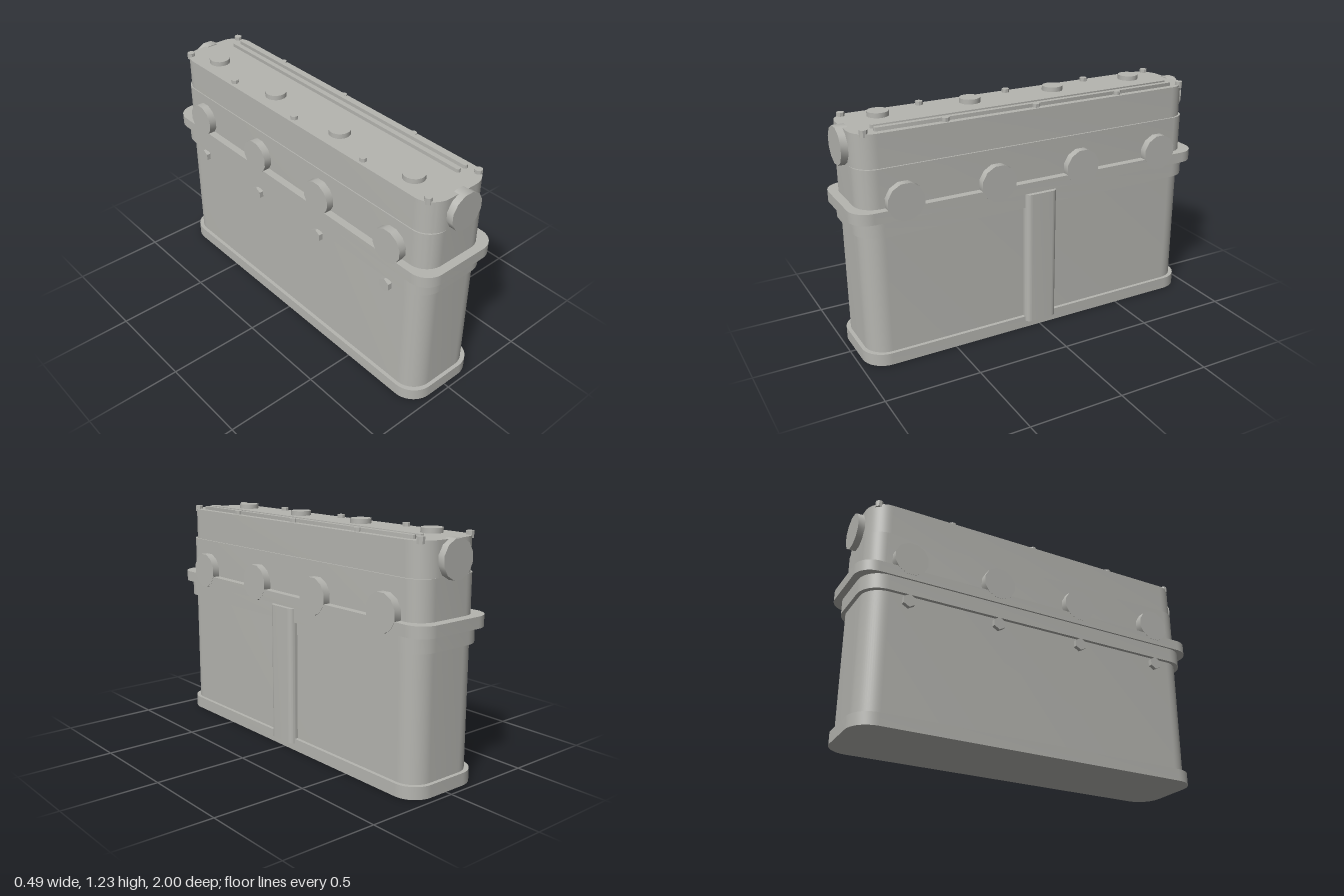
import * as THREE from 'three';
import { toCreasedNormals } from 'three/addons/utils/BufferGeometryUtils.js';

const metal = new THREE.MeshStandardMaterial({ color: 0xb5b5b0 });
metal.name = 'grey metal';

export function createModel() {
  const model = new THREE.Group();
  model.name = 'engineBlock';

  function add(name, geometry, x = 0, y = 0, z = 0) {
    const mesh = new THREE.Mesh(toCreasedNormals(geometry, 0.6), metal);
    mesh.name = name;
    mesh.position.set(x, y, z);
    model.add(mesh);
    return mesh;
  }

  // Upright slab with a rounded rectangular plan
  function slab(name, x0, x1, z0, z1, y0, y1, r) {
    const s = new THREE.Shape();
    s.moveTo(x0 + r, -z1);
    s.lineTo(x1 - r, -z1);
    s.absarc(x1 - r, -z1 + r, r, -Math.PI / 2, 0);
    s.lineTo(x1, -z0 - r);
    s.absarc(x1 - r, -z0 - r, r, 0, Math.PI / 2);
    s.lineTo(x0 + r, -z0);
    s.absarc(x0 + r, -z0 - r, r, Math.PI / 2, Math.PI);
    s.lineTo(x0, -z1 + r);
    s.absarc(x0 + r, -z1 + r, r, Math.PI, Math.PI * 1.5);
    const g = new THREE.ExtrudeGeometry(s, { depth: y1 - y0, bevelEnabled: false, curveSegments: 8 });
    g.rotateX(-Math.PI / 2);
    return add(name, g, 0, y0, 0);
  }

  // Disc lying along an axis, with a flat facet at its sides
  function disc(name, axis, radius, from, to, sides, x, y, z) {
    const g = new THREE.CylinderGeometry(radius, radius, to - from, sides);
    g.rotateY(Math.PI / sides);
    if (axis === 'x') g.rotateZ(-Math.PI / 2);
    if (axis === 'z') g.rotateX(Math.PI / 2);
    const p = { x, y, z };
    p[axis] = (from + to) / 2;
    return add(name, g, p.x, p.y, p.z);
  }

  // Stacked casing
  slab('baseRim', -0.235, 0.222, -0.965, 0.97, 0, 0.065, 0.12);
  slab('crankcase', -0.215, 0.203, -0.945, 0.95, 0.065, 0.70, 0.11);
  slab('collar', -0.235, 0.222, -0.965, 0.97, 0.70, 0.78, 0.12);
  slab('flange', -0.245, 0.235, -1, 1, 0.78, 0.838, 0.1);
  slab('cylinderHead', -0.205, 0.196, -0.95, 0.955, 0.838, 1.035, 0.1);
  slab('headCover', -0.2, 0.187, -0.95, 0.955, 1.035, 1.205, 0.11);

  // Vertical pillar on the left side
  slab('sidePillar', 0.16, 0.245, -0.09, 0.09, 0.04, 0.773, 0.03);

  // Round end caps
  disc('frontCap', 'z', 0.097, 0.93, 0.99, 12, -0.007, 1.115, 0);
  disc('backCap', 'z', 0.097, -0.985, -0.93, 12, -0.007, 1.115, 0);

  // Side ports, their bolts and the top plugs
  for (const z of [-0.74, -0.247, 0.243, 0.738]) {
    disc('leftPort', 'x', 0.097, 0.15, 0.236, 12, 0, 0.865, z);
    disc('rightPort', 'x', 0.09, -0.246, -0.15, 12, 0, 0.895, z);
    disc('sideBolt', 'x', 0.035, -0.246, -0.223, 6, 0, 0.662, z);
    disc('sideBoltShank', 'x', 0.014, -0.23, -0.2, 8, 0, 0.662, z);
    disc('topPlug', 'y', 0.055, 1.19, 1.23, 16, -0.09, 0, z);
  }

  // Cover bolts in two rows
  for (const z of [-0.905, -0.495, -0.005, 0.49, 0.9]) {
    for (const x of [-0.168, 0.155]) {
      disc('coverBolt', 'y', 0.02, 1.19, 1.224, 8, x, 0, z);
    }
  }

  // Long rails on the cover
  slab('innerRail', 0.079, 0.105, -0.855, 0.845, 1.195, 1.2235, 0.012);
  slab('outerRail', 0.128, 0.154, -0.855, 0.845, 1.195, 1.2235, 0.012);

  return model;
}
